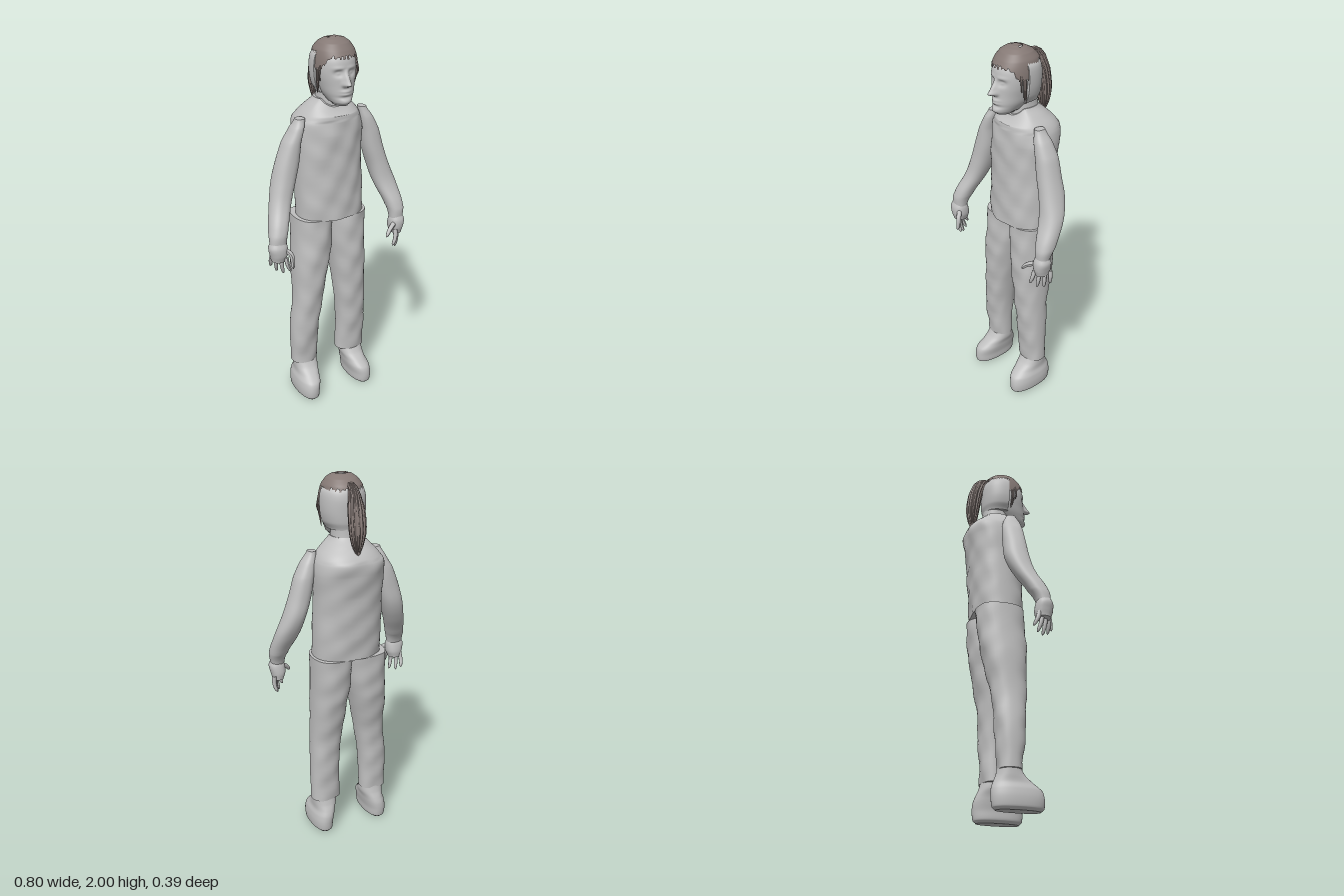
import * as THREE from 'three';

const skin = new THREE.MeshStandardMaterial({ color: 0xbfbfbf });
skin.name = 'plainGrey';
const hairMat = new THREE.MeshStandardMaterial({ color: 0x857975, side: THREE.DoubleSide });
hairMat.name = 'hairBrown';

const CX = 0.022; // centre line of the head
const bump = (d, s) => Math.exp(-(d * d) / (2 * s * s));

// Catmull-Rom blend of neighbouring cross-sections
function refine(rows, sub) {
  const out = [];
  const at = (i) => rows[Math.min(Math.max(i, 0), rows.length - 1)];
  for (let i = 0; i < rows.length - 1; i++) {
    const [a, b, c, d] = [at(i - 1), at(i), at(i + 1), at(i + 2)];
    for (let s = 0; s < sub; s++) {
      const t = s / sub;
      out.push(b.map((v, k) => k === 0 ? v + (c[0] - v) * t
        : 0.5 * (2 * v + (c[k] - a[k]) * t + (2 * a[k] - 5 * v + 4 * c[k] - d[k]) * t * t
          + (3 * v - a[k] - 3 * c[k] + d[k]) * t * t * t)));
    }
  }
  out.push(rows[rows.length - 1]);
  return out;
}

// Stack of rounded rings, bottom to top: [y, xMin, xMax, zBack, zFront]
function loft(name, rows, mat, { seg = 40, sub = 6, power = 2.3, warp, keep } = {}) {
  const rings = refine(rows, sub), pos = [], idx = [];
  const p = new THREE.Vector3();
  const round = (v) => Math.sign(v) * Math.abs(v) ** (2 / power);
  const ring = ([y, x0, x1, z0, z1]) => {
    for (let j = 0; j < seg; j++) {
      const a = (j / seg) * Math.PI * 2;
      p.set((x0 + x1) / 2 + round(Math.cos(a)) * (x1 - x0) / 2, y,
        (z0 + z1) / 2 + round(Math.sin(a)) * (z1 - z0) / 2);
      if (warp) warp(p, a);
      pos.push(p.x, p.y, p.z);
    }
  };
  const tri = (...t) => {
    const mean = (k) => (pos[t[0] * 3 + k] + pos[t[1] * 3 + k] + pos[t[2] * 3 + k]) / 3;
    if (!keep || keep(mean(0), mean(1), mean(2))) idx.push(...t);
  };
  rings.forEach(ring);
  for (let i = 0; i < rings.length - 1; i++) {
    for (let j = 0; j < seg; j++) {
      const a = i * seg + j, b = i * seg + (j + 1) % seg;
      tri(a, a + seg, b);
      tri(b, a + seg, b + seg);
    }
  }
  // end caps with their own vertices keep the rims crisp
  [rings[0], rings[rings.length - 1]].forEach((r, top) => {
    if (keep && !top) return;
    const start = pos.length / 3;
    ring(r);
    const c = [0, 0, 0];
    for (let j = 0; j < seg; j++) for (let k = 0; k < 3; k++) c[k] += pos[(start + j) * 3 + k] / seg;
    pos.push(...c);
    for (let j = 0; j < seg; j++) {
      const a = start + j, b = start + (j + 1) % seg;
      top ? tri(start + seg, b, a) : tri(start + seg, a, b);
    }
  });
  const g = new THREE.BufferGeometry();
  g.setAttribute('position', new THREE.Float32BufferAttribute(pos, 3));
  g.setIndex(idx);
  g.computeVertexNormals();
  const m = new THREE.Mesh(g, mat);
  m.name = name;
  return m;
}

// Tapered round-ended tube through a few points
function taper(name, pts, r, mat) {
  const curve = new THREE.CatmullRomCurve3(pts.map((q) => new THREE.Vector3(...q)));
  const n = 14, rad = 10;
  const g = new THREE.TubeGeometry(curve, n, r, rad);
  const P = g.attributes.position, v = new THREE.Vector3();
  for (let i = 0; i < P.count; i++) {
    const t = Math.floor(i / (rad + 1)) / n, c = curve.getPointAt(t);
    v.fromBufferAttribute(P, i).sub(c).multiplyScalar((1 - 0.3 * t) * Math.sqrt(1 - t ** 8)).add(c);
    P.setXYZ(i, v.x, v.y, v.z);
  }
  g.computeVertexNormals();
  const m = new THREE.Mesh(g, mat);
  m.name = name;
  return m;
}

// Soft cloth folds
const cloth = (p) => {
  const w = 0.0025 * (Math.sin(p.y * 43 + p.x * 29) + Math.sin(p.y * 27 - p.x * 47 + p.z * 31));
  p.z += Math.sign(p.z) * w * Math.min(1, Math.abs(p.z) * 20);
};

export function createModel() {
  const model = new THREE.Group();
  model.name = 'standingFigure';

  // Sleeveless top with a dipped front neckline
  model.add(loft('torso', [
    [1.07, -.165, .2, -.15, .123], [1.2, -.165, .2, -.16, .12], [1.4, -.164, .194, -.172, .115],
    [1.52, -.167, .202, -.187, .112], [1.58, -.16, .195, -.192, .106], [1.62, -.135, .175, -.17, .102],
    [1.66, -.1, .137, -.13, .093], [1.70, -.062, .097, -.09, .068],
  ], skin, {
    seg: 56, warp: (p) => {
      if (p.y < 1.6) cloth(p);
      if (p.y > 1.62 && p.z > .03) p.y -= (p.z - .03) * (p.y - 1.62) * 13;
    },
  }));

  // Trouser legs and shoes
  model.add(loft('rightTrouserLeg', [
    [.195, -.228, -.08, -.055, .066], [.4, -.23, -.075, -.065, .085], [.6, -.208, -.05, -.08, .1],
    [.8, -.205, -.012, -.12, .11], [.92, -.195, .01, -.138, .11], [1.072, -.188, .018, -.15, .106],
  ], skin, { warp: cloth }));
  model.add(loft('leftTrouserLeg', [
    [.195, .055, .222, -.055, .066], [.4, .06, .22, -.065, .085], [.6, .045, .215, -.08, .1],
    [.8, .025, .213, -.12, .11], [.92, .01, .212, -.138, .11], [1.072, .004, .215, -.15, .106],
  ], skin, { warp: cloth }));
  for (const [name, s, x] of [['rightShoe', -1, 0], ['leftShoe', 1, -.004]]) {
    const row = (y, a, b, z0, z1) => [y, x + Math.min(s * a, s * b), x + Math.max(s * a, s * b), z0, z1];
    model.add(loft(name, [
      row(0, .13, .21, -.07, .155), row(.015, .112, .226, -.085, .17), row(.06, .108, .23, -.09, .173),
      row(.1, .1, .225, -.088, .163), row(.13, .095, .215, -.078, .128), row(.165, .085, .215, -.062, .085),
      row(.21, .085, .215, -.05, .058),
    ], skin));
  }

  // Arms
  model.add(loft('leftArm', [
    [1.015, .318, .39, .09, .162], [1.08, .306, .4, .055, .156], [1.2, .263, .384, -.01, .105],
    [1.3, .236, .35, -.045, .085], [1.4, .207, .317, -.048, .076], [1.5, .19, .288, -.045, .07],
    [1.57, .177, .252, -.03, .062], [1.63, .17, .212, -.01, .045],
  ], skin));
  model.add(loft('rightArm', [
    [1.015, -.395, -.308, .09, .162], [1.08, -.388, -.29, .055, .156], [1.2, -.352, -.243, -.01, .105],
    [1.3, -.325, -.205, -.045, .085], [1.4, -.295, -.178, -.048, .076], [1.5, -.256, -.165, -.045, .07],
    [1.57, -.215, -.148, -.03, .062], [1.615, -.19, -.14, -.01, .045],
  ], skin));

  // Hands: palm, four fingers, thumb
  const hands = {
    left: { s: 1, palm: [.315, .395], tips: [[.312, .862, .17], [.34, .842, .148], [.36, .84, .118], [.375, .86, .09]], thumb: [.262, .93, .184] },
    right: { s: -1, palm: [.305, .4], tips: [[.3, .862, .162], [.325, .842, .126], [.348, .845, .092], [.368, .868, .064]], thumb: [.298, .885, .186] },
  };
  for (const [side, { s, palm: [a, b], tips, thumb }] of Object.entries(hands)) {
    const hand = new THREE.Group();
    hand.name = side + 'Hand';
    const row = (y, x0, x1, z0, z1) => [y, Math.min(s * x0, s * x1), Math.max(s * x0, s * x1), z0, z1];
    hand.add(loft('palm', [
      row(.925, a + .012, b - .012, .085, .162), row(.96, a, b - .004, .08, .172),
      row(1.0, a, b + .003, .085, .172), row(1.035, a + .01, b - .01, .095, .158),
    ], skin, { seg: 24 }));
    tips.forEach(([x, y, z], i) => {
      const k = [a + .02 + i * .016, .95, .158 - i * .02];
      const mid = [(k[0] + x) / 2 + .006, (k[1] + y) / 2, (k[2] + z) / 2 + .004];
      hand.add(taper('finger', [k, mid, [x, y, z]].map(([u, v, w]) => [s * u, v, w]), .0125, skin));
    });
    hand.add(taper('thumb', [[a + .025, .99, .145], [(a + thumb[0]) / 2, .962, .172], thumb]
      .map(([u, v, w]) => [s * u, v, w]), .0145, skin));
    model.add(hand);
  }

  // Neck and head; facial features are pushed out of the front surface
  model.add(loft('neck', [
    [1.62, -.06, .105, -.1, .06], [1.7, -.047, .092, -.088, .06], [1.8, -.045, .09, -.086, .06],
  ], skin));
  const headRows = [
    [1.682, -.01, .054, .04, .14], [1.70, -.03, .074, 0, .157], [1.74, -.052, .097, -.05, .155],
    [1.78, -.066, .11, -.083, .152], [1.82, -.076, .12, -.09, .15], [1.86, -.08, .124, -.091, .148],
    [1.90, -.077, .121, -.088, .142], [1.94, -.064, .108, -.073, .122], [1.97, -.043, .087, -.045, .097],
    [1.986, -.02, .064, -.014, .07], [1.994, .008, .036, .015, .043],
  ];
  model.add(loft('head', headRows, skin, {
    seg: 120, sub: 9, power: 2.15, warp: (p) => {
      if (p.z < .06) return;
      const x = p.x - CX, y = p.y, e = Math.abs(x) - .034;
      const bridge = THREE.MathUtils.clamp((1.865 - y) / .07, 0, 1) * (y > 1.793 ? 1 : bump(y - 1.793, .008));
      p.z += .044 * bridge * bump(x, .011)
        + .012 * bridge * bump(Math.abs(x) - .014, .006) * bump(y - 1.793, .01)
        - .016 * bump(e, .015) * bump(y - 1.845, .011)
        + .008 * bump(e, .009) * bump(y - 1.844, .006)
        + .005 * bump(e, .02) * bump(y - 1.868, .007)
        + .009 * bump(x, .018) * (bump(y - 1.757, .005) + bump(y - 1.742, .005))
        - .006 * bump(x, .03) * bump(y - 1.727, .006)
        + .006 * bump(x, .02) * bump(y - 1.706, .01);
    },
  }));
  // Fuller shell round the back of the skull
  model.add(loft('backOfHead', [
    [1.735, -.06, .105, -.085, .12], [1.77, -.082, .126, -.094, .15], [1.82, -.093, .136, -.097, .15],
    [1.88, -.094, .137, -.097, .15], [1.92, -.086, .13, -.088, .14], [1.953, -.062, .105, -.065, .11],
  ], skin, { seg: 64, warp: (p) => { p.z = Math.min(p.z, .036); } }));

  // Hair cap, cut along the hairline and thin at the crown
  const hairline = (x, z) => {
    const jag = .005 * Math.sin(x * 310) + .004 * Math.sin(z * 420);
    if (z < .036) return 1.932 + jag;
    return (z < .085 ? 1.862 : 1.862 + Math.min(.055, (z - .085) * 1.6)) + jag;
  };
  model.add(loft('hairCap', headRows.slice(3).map(([y, a, b, c, d]) => {
    const o = y > 1.9 ? .012 : .008;
    return [y + .006, a - o, b + o, c - o, d + .006];
  }), hairMat, {
    seg: 120, sub: 9, power: 2.15,
    keep: (x, y, z) => {
      const r = Math.hypot(x - CX, z - .03);
      return y > hairline(x, z) && !(y > 1.98 && r > .022 && r < .034 && z < .032);
    },
  }));

  // Loose strands beside the face
  for (const s of [-1, 1]) {
    for (const [z, end] of [[.06, 1.76], [.075, 1.8], [.05, 1.735]]) {
      model.add(taper('looseStrand', [[CX + s * .1, 1.885, z], [CX + s * .108, 1.83, z + .004],
        [CX + s * .1, end, z - .004]], .005, hairMat));
    }
  }

  // Ponytail with ridged strands
  model.add(loft('ponytail', [
    [1.62, .013, .027, -.16, -.148], [1.68, -.008, .05, -.178, -.128], [1.75, -.022, .062, -.186, -.116],
    [1.85, -.02, .06, -.174, -.1], [1.92, -.006, .046, -.15, -.08], [1.95, 0, .04, -.125, -.066],
    [1.965, .008, .032, -.1, -.06],
  ], hairMat, {
    seg: 96, power: 2, warp: (p, a) => {
      const k = 1 + .07 * Math.cos(a * 14);
      p.x = .02 + (p.x - .02) * k;
      p.z += .003 * Math.cos(a * 14) * Math.sin(a);
    },
  }));

  return model;
}
